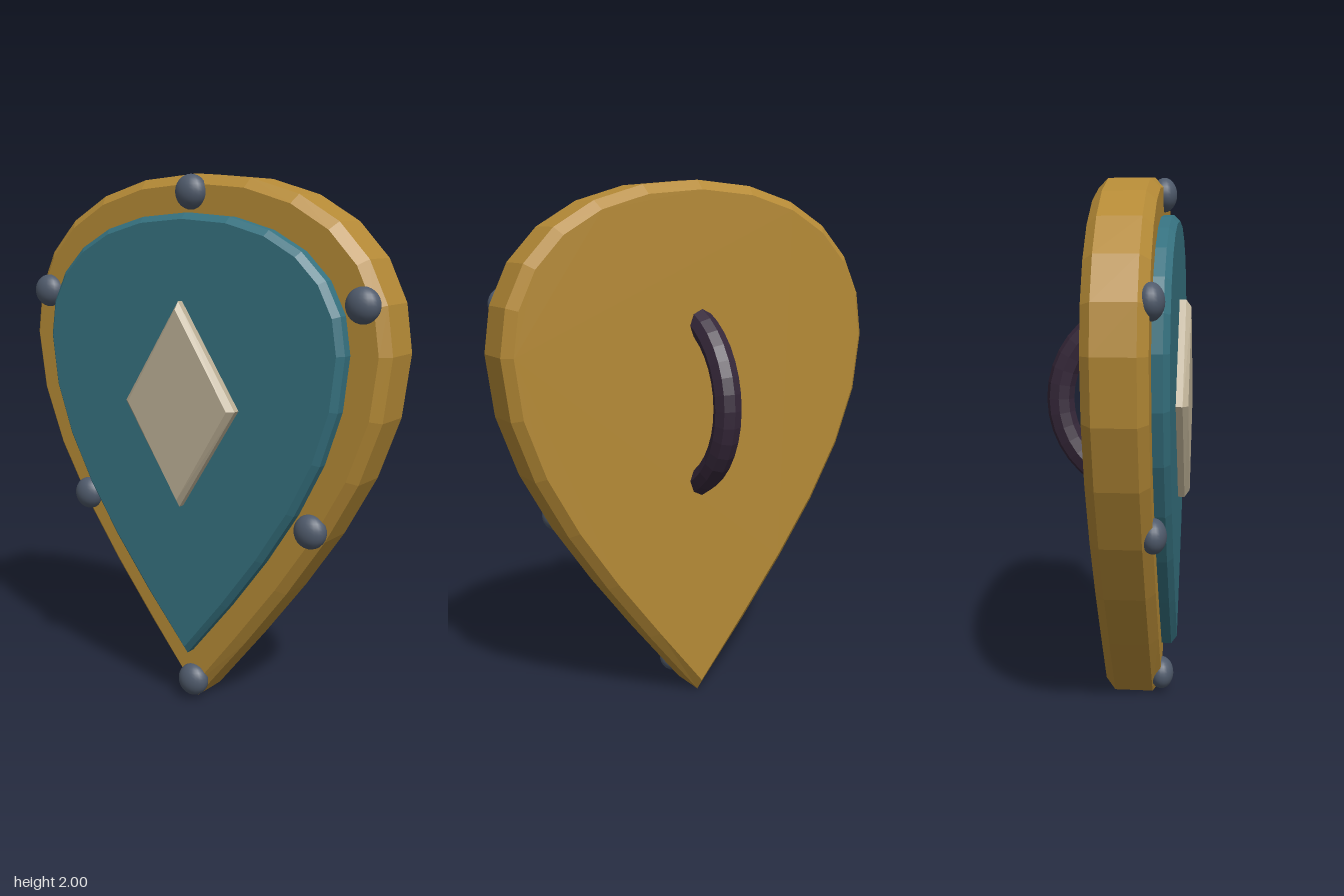
import * as THREE from 'three';

const mat = (name, color) => new THREE.MeshStandardMaterial({ name, color });

// Teardrop outline: rounded top, straight-running sides, pointed foot
function teardrop(halfWidth, top, mid, tip, taper) {
  const w = halfWidth, up = top - mid, down = mid - tip;
  const s = new THREE.Shape();
  s.moveTo(0, tip);
  s.bezierCurveTo(w * taper, tip + down * 0.355, w, mid - down * 0.326, w, mid);
  s.bezierCurveTo(w, mid + up * 0.59, w * 0.64, top, 0, top);
  s.bezierCurveTo(-w * 0.64, top, -w, mid + up * 0.59, -w, mid);
  s.bezierCurveTo(-w, mid - down * 0.326, -w * taper, tip + down * 0.355, 0, tip);
  return s;
}

// Chamfered plate between two z planes; the chamfer grows outwards from the shape
function plate(name, shape, back, front, bevel, material) {
  const g = new THREE.ExtrudeGeometry(shape, {
    depth: front - back - 2 * bevel,
    curveSegments: 6,
    bevelEnabled: true,
    bevelThickness: bevel,
    bevelSize: bevel,
    bevelSegments: 1,
  });
  g.translate(0, 0, back + bevel);
  const m = new THREE.Mesh(g, material);
  m.name = name;
  return m;
}

export function createModel() {
  const gold = mat('gold', 0xb58a36);
  const teal = mat('teal', 0x367280);
  const ivory = mat('ivory', 0xbdb096);
  const steel = mat('steel', 0x4f5a6b);
  const leather = mat('dark leather', 0x36283a);
  leather.flatShading = true;

  const shield = new THREE.Group();
  shield.name = 'shield';

  // Body and raised field
  shield.add(plate('body', teardrop(0.757, 1.965, 1.39, 0.045, 0.503), -0.045, 0.175, 0.035, gold));
  shield.add(plate('field', teardrop(0.63, 1.84, 1.39, 0.228, 0.55), 0.1, 0.235, 0.022, teal));

  // Diamond emblem
  const diamond = new THREE.Shape([
    new THREE.Vector2(0, 1.17 - 0.352),
    new THREE.Vector2(0.221, 1.17),
    new THREE.Vector2(0, 1.17 + 0.352),
    new THREE.Vector2(-0.221, 1.17),
  ]);
  shield.add(plate('emblem', diamond, 0.2, 0.28, 0.02, ivory));

  // Domed studs around the border
  const studGeometry = new THREE.SphereGeometry(0.063, 20, 14);
  studGeometry.scale(1, 1, 0.75);
  const studs = new THREE.Group();
  studs.name = 'studs';
  for (const [x, y] of [[0, 1.935], [0.695, 1.56], [-0.695, 1.56], [0.51, 0.755], [-0.51, 0.755], [0, 0.075]]) {
    const stud = new THREE.Mesh(studGeometry, steel);
    stud.name = 'stud';
    stud.position.set(x, y, 0.175);
    studs.add(stud);
  }
  shield.add(studs);

  // Curved grip on the back, its ends sunk into the body
  const half = THREE.MathUtils.degToRad(75);
  const gripGeometry = new THREE.TorusGeometry(0.342, 0.053, 8, 16, half * 2);
  gripGeometry.rotateZ(-half);
  gripGeometry.rotateY(Math.PI / 2);
  const grip = new THREE.Mesh(gripGeometry, leather);
  grip.name = 'grip';
  grip.position.set(0, 1.17, 0.12);
  shield.add(grip);

  return shield;
}
